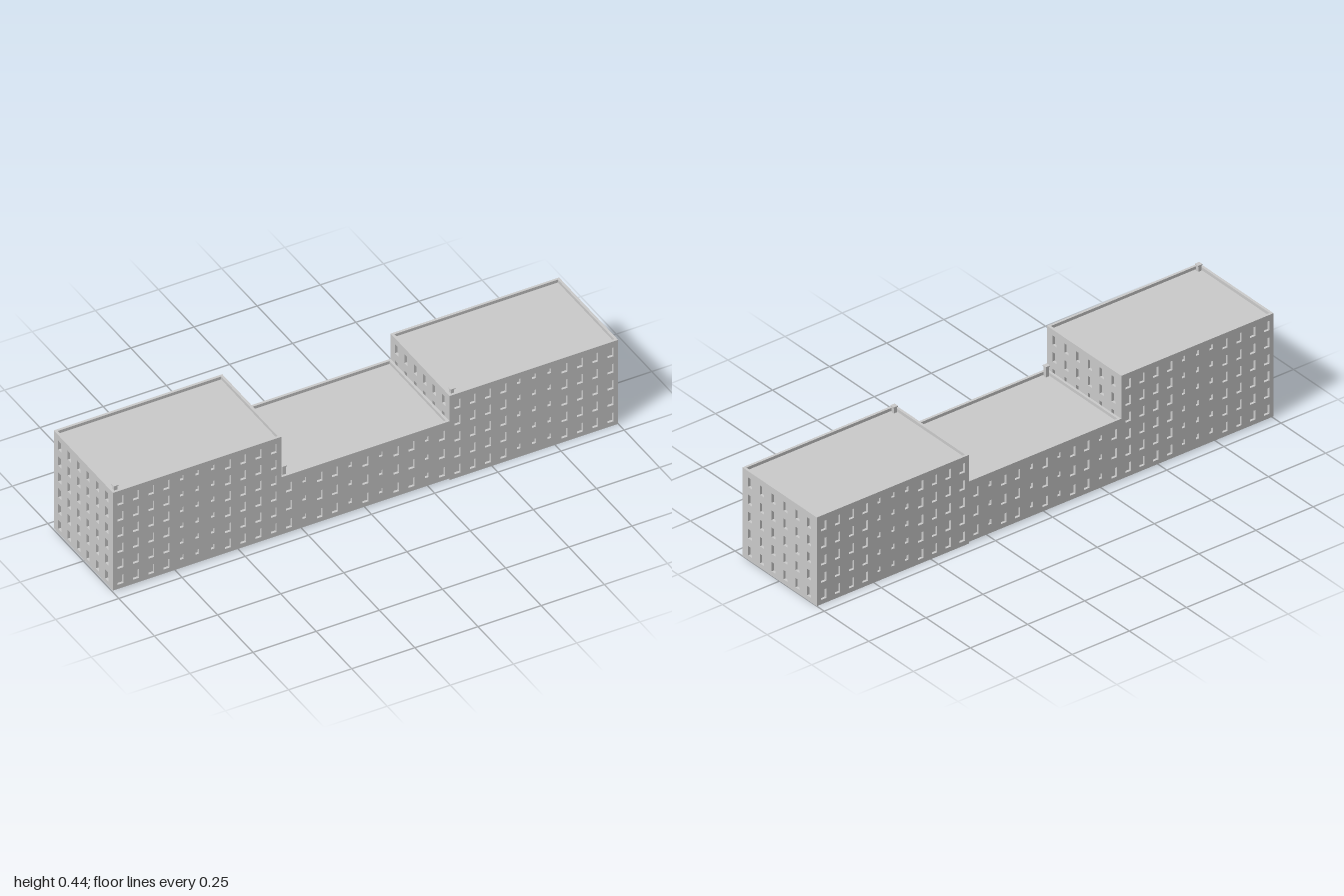
import * as THREE from 'three';

const material = new THREE.MeshStandardMaterial({ color: 0xcccccc, flatShading: true });
const T = 0.01;          // wall thickness, also the window recess
const DEPTH = 0.417;     // building depth along z
const PARAPET = 0.012;   // wall height above the roof

function add(parent, name, geometry, x = 0, y = 0, z = 0) {
  const mesh = new THREE.Mesh(geometry, material);
  mesh.name = name;
  mesh.position.set(x, y, z);
  parent.add(mesh);
  return mesh;
}

function rect(Type, x, y, w, h) {
  const p = new Type();
  p.moveTo(x, y);
  p.lineTo(x + w, y);
  p.lineTo(x + w, y + h);
  p.lineTo(x, y + h);
  p.closePath();
  return p;
}

// Wall panel pierced by a grid of windows; columns is a string of T (tall) and s (small)
function wallGeometry(width, height, rows, columns) {
  const shape = rect(THREE.Shape, -width / 2, 0, width, height);
  const dx = width / columns.length;
  const dy = (height - PARAPET) / rows;
  for (let r = 0; r < rows; r++) {
    for (let c = 0; c < columns.length; c++) {
      const tall = columns[c] === 'T';
      const w = tall ? 0.023 : 0.014;
      const h = tall ? 0.038 : 0.02;
      const x = -width / 2 + (c + 0.5) * dx - w / 2;
      const top = r * dy + 0.056;
      shape.holes.push(rect(THREE.Path, x, top - h, w, h));
    }
  }
  return new THREE.ExtrudeGeometry(shape, { depth: T, bevelEnabled: false });
}

function chimney(x, y, z, height) {
  const group = new THREE.Group();
  group.name = 'chimney';
  const cap = 0.004;
  add(group, 'chimneyStack', new THREE.BoxGeometry(0.013, height - cap, 0.013), 0, (height - cap) / 2, 0);
  add(group, 'chimneyCap', new THREE.BoxGeometry(0.019, cap, 0.019), 0, height - cap / 2, 0);
  group.position.set(x, y, z);
  return group;
}

function block({ name, x0, x1, y0, top, rows, front, chimneyTop }) {
  const group = new THREE.Group();
  group.name = name;
  const width = x1 - x0;
  const height = top - y0;
  const cx = (x0 + x1) / 2;
  const roof = height - PARAPET;

  // Core gives the window panes, the roof and the underside
  add(group, 'coreAndRoof', new THREE.BoxGeometry(width - 2 * T, roof, DEPTH - 2 * T), 0, roof / 2, 0);

  // Long walls
  const longWall = wallGeometry(width, height, rows, front);
  add(group, 'frontWall', longWall, 0, 0, DEPTH / 2 - T);
  add(group, 'backWall', longWall, 0, 0, -DEPTH / 2 + T).rotation.y = Math.PI;

  // End walls
  const endWall = wallGeometry(DEPTH - 2 * T, height, rows, 'TTTTTT');
  for (const s of [-1, 1]) {
    add(group, s > 0 ? 'leftWall' : 'rightWall', endWall, s * (width / 2 - T), 0, 0).rotation.y = s * Math.PI / 2;
  }

  group.add(chimney(-width / 2 + 0.02, roof, 0.186, chimneyTop - y0 - roof));
  group.position.set(cx, y0, 0);
  return group;
}

export function createModel() {
  const model = new THREE.Group();
  model.name = 'apartmentBuilding';
  const blocks = [
    { name: 'tallBlock', x0: -1, x1: -0.333, y0: 0.007, top: 0.426, rows: 6, front: 'TTTTsssTTTT', chimneyTop: 0.441 },
    { name: 'lowBlock', x0: -0.333, x1: 0.333, y0: 0.007, top: 0.252, rows: 3, front: 'TsTTsTsTTsT', chimneyTop: 0.284 },
    { name: 'mediumBlock', x0: 0.333, x1: 1, y0: 0, top: 0.36, rows: 5, front: 'TTTTsssTTTT', chimneyTop: 0.375 },
  ];
  for (const b of blocks) model.add(block(b));
  return model;
}
